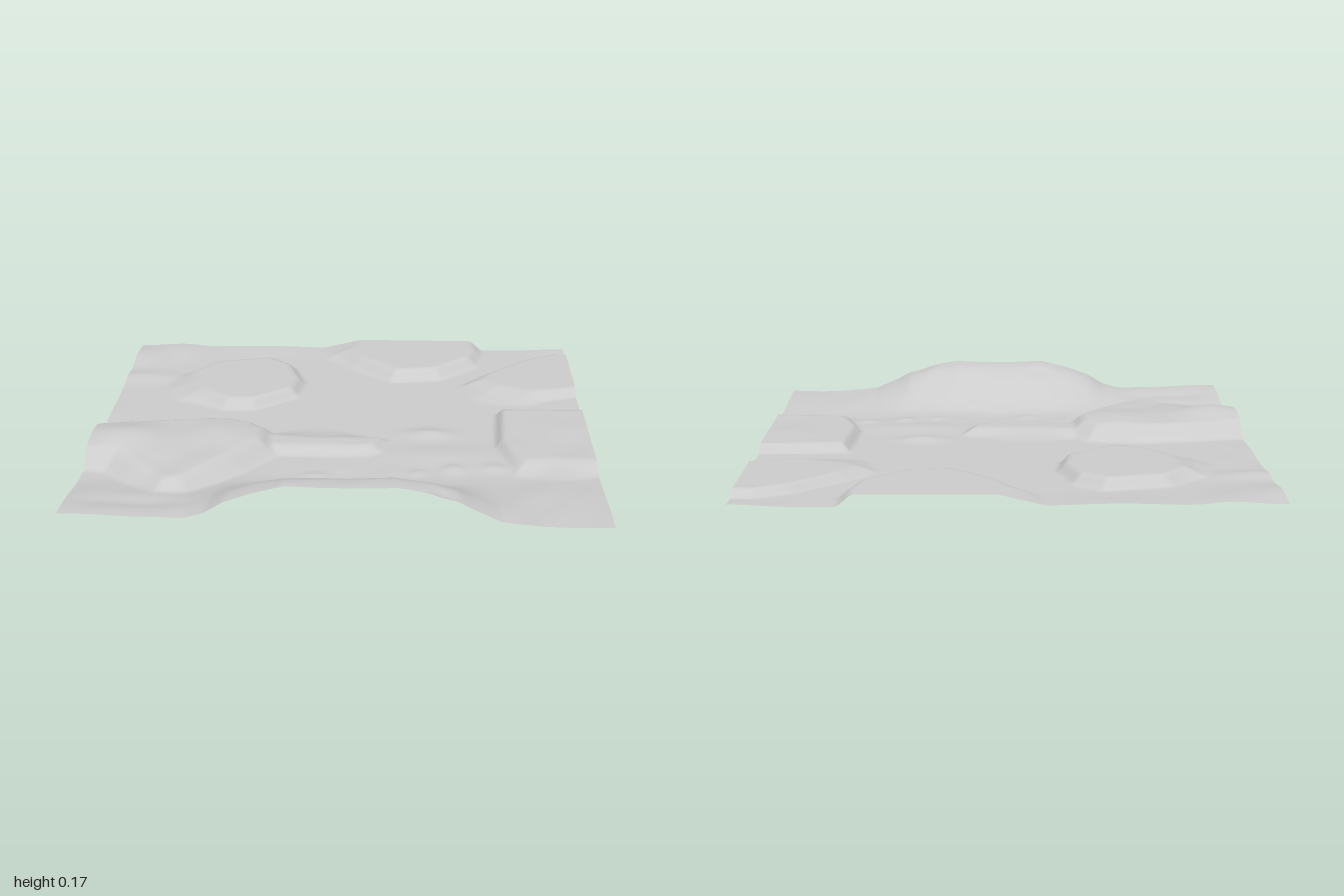
import * as THREE from 'three';

const FLOOR = 0.015;
const GRID = 150;
const smooth = THREE.MathUtils.smoothstep;
const gauss = (x, z, cx, cz, sx, sz = sx) => Math.exp(-(((x - cx) / sx) ** 2) - ((z - cz) / sz) ** 2);

// Signed distance to a polygon outline, positive inside
function inside(poly, x, z) {
  let d = Infinity, hit = false;
  for (let i = 0, j = poly.length - 1; i < poly.length; j = i++) {
    const [ax, az] = poly[j], [bx, bz] = poly[i];
    const ex = bx - ax, ez = bz - az;
    const t = THREE.MathUtils.clamp(((x - ax) * ex + (z - az) * ez) / (ex * ex + ez * ez), 0, 1);
    d = Math.min(d, Math.hypot(x - ax - t * ex, z - az - t * ez));
    if ((az > z) !== (bz > z) && x < ax + ((z - az) / ez) * ex) hit = !hit;
  }
  return hit ? d : -d;
}

// Raised mesas: outline, height, cliff width, and an optional gentle side [x, z]
const mesas = [
  { // round western mesa
    poly: [[-0.72, -0.58], [-0.6, -0.71], [-0.36, -0.77], [-0.26, -0.68], [-0.21, -0.5], [-0.23, -0.35],
      [-0.4, -0.2], [-0.52, -0.2], [-0.68, -0.32], [-0.72, -0.43]],
    height: 0.042, width: 0.045, gentle: [-0.75, -0.4],
  },
  { // northern mesa, cut by the back edge
    poly: [[-0.06, -0.87], [0.03, -0.74], [0.2, -0.57], [0.4, -0.6], [0.56, -0.77], [0.59, -0.9], [0.57, -1.3], [-0.02, -1.3]],
    height: 0.045, width: 0.06, gentle: [-0.05, -1],
  },
  { // north-eastern mesa
    poly: [[0.53, -0.5], [0.62, -0.62], [0.8, -0.8], [0.93, -0.88], [1.3, -0.85], [1.3, -0.38], [1, -0.41], [0.78, -0.33], [0.6, -0.38]],
    height: 0.032, width: 0.04, gentle: [0.65, -0.35],
  },
  { // eastern shelf
    poly: [[0.65, -0.15], [1.3, -0.17], [1.3, 0.45], [0.7, 0.45], [0.63, 0.2]],
    height: 0.036, width: 0.03, gentle: [0.85, 0.5],
  },
  { // spur running east from the highland
    poly: [[-0.35, 0.12], [0, 0.13], [0.16, 0.16], [0.14, 0.26], [0.1, 0.29], [-0.35, 0.29]],
    height: 0.03, width: 0.05, gentle: [-0.1, 0.05],
  },
];
const highland = [[-1.3, 0.16], [-1, 0.11], [-0.78, 0.06], [-0.55, 0.03], [-0.36, 0.06], [-0.29, 0.15], [-0.29, 0.3],
  [-0.4, 0.47], [-0.58, 0.7], [-0.68, 0.71], [-0.8, 0.58], [-0.9, 0.47], [-1.3, 0.44]];

// Ridge line along the front edge: [x, height]
const frontEdge = [[-1, 0.066], [-0.75, 0.062], [-0.55, 0.06], [-0.47, 0.08], [-0.4, 0.12], [-0.3, 0.155], [-0.18, 0.183],
  [0.05, 0.184], [0.22, 0.19], [0.35, 0.165], [0.44, 0.135], [0.5, 0.1], [0.6, 0.058], [0.75, 0.045], [1, 0.045]];
function edgeHeight(x) {
  const i = Math.max(1, frontEdge.findIndex((p) => p[0] >= x - 1e-6));
  const [a, b] = [frontEdge[i - 1], frontEdge[i]];
  return THREE.MathUtils.mapLinear(x, a[0], b[0], a[1], b[1]);
}

// Low mounds and dips: x, z, radius x, radius z, height
const bumps = [
  [-0.95, -0.57, 0.16, 0.07, 0.015], [-0.8, -0.95, 0.1, 0.16, 0.016], [-1, -0.85, 0.12, 0.14, 0.018],
  [-0.4, -1, 0.25, 0.12, 0.01], [1, -1, 0.15, 0.1, 0.01], [0.35, 0.07, 0.09, 0.05, 0.016], [0.4, 0.3, 0.22, 0.1, 0.012],
  [0.44, 0.44, 0.04, 0.04, 0.012], [0.3, 0.48, 0.03, 0.03, 0.008], [0.6, 0.42, 0.05, 0.04, 0.01],
  [-0.1, 0.51, 0.05, 0.03, 0.008], [0.14, 0.66, 0.02, 0.02, 0.006], [0.85, 0.65, 0.2, 0.15, 0.014],
  [-0.15, 0.87, 0.06, 0.03, -0.008], [0.38, 0.97, 0.05, 0.04, -0.008], [-0.75, 0.85, 0.2, 0.06, -0.012],
];

function ripple(x, z) {
  return 0.5 * Math.sin(9 * x + 5 * z + 2 * Math.sin(4 * z)) + 0.3 * Math.sin(17 * z - 8 * x + 1.3)
    + 0.2 * Math.sin(27 * x + 19 * z);
}

function heightAt(x, z) {
  let rise = 0;
  for (const { poly, height, width, gentle } of mesas) {
    const w = width + 0.16 * gauss(x, z, gentle[0], gentle[1], 0.16);
    rise = Math.max(rise, height * smooth(inside(poly, x, z), -w * 0.6, w * 0.6));
  }

  // Western highland with two crests
  const top = 0.058 + 0.034 * gauss(x, z, -0.87, 0.29, 0.2, 0.14) + 0.024 * gauss(x, z, -0.48, 0.24, 0.13, 0.16)
    + 0.004 * ripple(x, z);
  rise = Math.max(rise, top * smooth(inside(highland, x, z), -0.05, 0.06));

  // Front hill falling away towards the valley
  const fall = smooth(z, 0.5, 1) * 0.55 + smooth(z, 0.58, 0.92) * 0.45;
  const hill = Math.max(0, edgeHeight(x) - FLOOR) * fall;
  rise = Math.hypot(rise, hill);

  for (const [bx, bz, sx, sz, h] of bumps) rise += h * gauss(x, z, bx, bz, sx, sz);

  // The central basin stays flat, the open land is gently uneven
  const rough = Math.max(smooth(z, 0.3, 0.5), smooth(x, 0.7, 0.9) * smooth(z, -0.12, 0.1), smooth(-x, 0.78, 0.95) * 0.7);
  rise += 0.004 * rough * (ripple(x, z) + 0.6);
  return Math.max(0.003, FLOOR + rise);
}

export function createModel() {
  const group = new THREE.Group();
  group.name = 'terrain';

  // Ground sheet
  const geometry = new THREE.PlaneGeometry(2, 2, GRID, GRID).rotateX(-Math.PI / 2);
  const p = geometry.attributes.position;
  for (let i = 0; i < p.count; i++) p.setY(i, heightAt(p.getX(i), p.getZ(i)));
  geometry.computeVertexNormals();
  const ground = new THREE.Mesh(geometry, new THREE.MeshStandardMaterial({ color: 0xcccccc, side: THREE.DoubleSide }));
  ground.name = 'ground';
  group.add(ground);
  return group;
}
